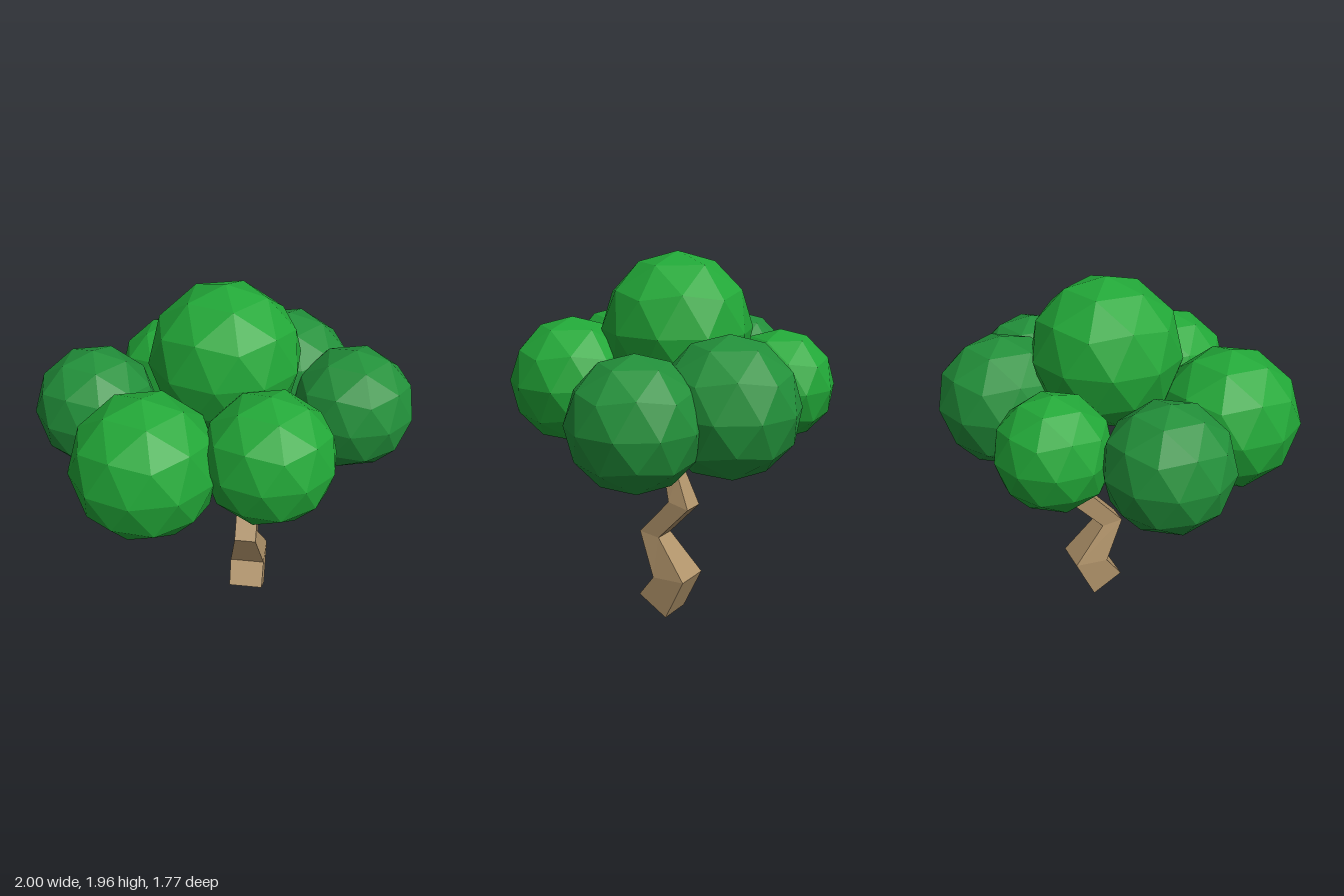
import * as THREE from 'three';

const leafLight = new THREE.MeshStandardMaterial({ name: 'light leaf green', color: 0x22a838, flatShading: true });
const leafDark = new THREE.MeshStandardMaterial({ name: 'dark leaf green', color: 0x22903a, flatShading: true });
const bark = new THREE.MeshStandardMaterial({ name: 'bark brown', color: 0xb0936a, flatShading: true });

// Skin a list of four-cornered rings into a closed, faceted solid
function skin(rings, name) {
  const pos = [];
  const quad = (a, b, c, d) => [a, b, c, a, c, d].forEach((p) => pos.push(p.x, p.y, p.z));
  for (let k = 0; k + 1 < rings.length; k++) {
    for (let i = 0; i < 4; i++) {
      const j = (i + 1) % 4;
      quad(rings[k][i], rings[k][j], rings[k + 1][j], rings[k + 1][i]);
    }
  }
  const first = rings[0], last = rings[rings.length - 1];
  quad(first[0], first[3], first[2], first[1]);
  quad(last[0], last[1], last[2], last[3]);
  const geo = new THREE.BufferGeometry();
  geo.setAttribute('position', new THREE.Float32BufferAttribute(pos, 3));
  geo.computeVertexNormals();
  const mesh = new THREE.Mesh(geo, bark);
  mesh.name = name;
  return mesh;
}

// Square limb following a path, with a half width at each point
function limb(name, points, halfWidths) {
  const path = points.map((p) => new THREE.Vector3(...p));
  const rings = path.map((p, i) => {
    const t = path[Math.min(i + 1, path.length - 1)].clone().sub(path[Math.max(i - 1, 0)]).normalize();
    const e1 = new THREE.Vector3(0, 1, 0).cross(t).normalize();
    const e2 = t.clone().cross(e1);
    const w = halfWidths[i];
    return [[-1, -1], [1, -1], [1, 1], [-1, 1]].map(([a, b]) =>
      p.clone().addScaledVector(e1, a * w).addScaledVector(e2, b * w));
  });
  return skin(rings, name);
}

export function createModel() {
  const tree = new THREE.Group();
  tree.name = 'tree';

  // Zigzag trunk: left x, right x, front z, front y, back z, back y
  const sections = [
    [0.05, 0.24, 0.05, 0.10, -0.12, 0],
    [0.045, 0.24, -0.04, 0.22, -0.23, 0.23],
    [0.08, 0.20, 0.07, 0.455, -0.05, 0.44],
    [0.075, 0.195, -0.11, 0.655, -0.23, 0.63],
    [0.075, 0.16, -0.06, 0.80, -0.145, 0.80],
    [0.09, 0.165, -0.09, 0.90, -0.16, 0.89],
  ];
  tree.add(skin(sections.map(([x0, x1, zf, yf, zb, yb]) => [
    new THREE.Vector3(x0, yf, zf), new THREE.Vector3(x1, yf, zf),
    new THREE.Vector3(x1, yb, zb), new THREE.Vector3(x0, yb, zb),
  ]), 'trunk'));

  // Branches
  tree.add(limb('rightBranch', [[0.13, 0.84, -0.12], [-0.03, 0.955, -0.12], [-0.27, 1.05, -0.11]], [0.035, 0.022, 0.014]));
  tree.add(limb('rightTwig', [[-0.17, 1.01, -0.115], [-0.22, 1.10, -0.13]], [0.014, 0.01]));
  tree.add(limb('middleBranch', [[0.13, 0.84, -0.12], [0.095, 1.03, -0.17], [0.06, 1.25, -0.2]], [0.036, 0.03, 0.022]));
  tree.add(limb('leftBranch', [[0.13, 0.84, -0.12], [0.24, 0.97, -0.05], [0.38, 1.06, 0.02]], [0.035, 0.024, 0.017]));
  tree.add(limb('leftTwigLow', [[0.36, 1.05, 0.01], [0.40, 1.09, 0.14]], [0.016, 0.012]));
  tree.add(limb('leftTwigHigh', [[0.36, 1.05, 0.01], [0.38, 1.16, 0.10]], [0.016, 0.012]));

  // Leaf balls, turned so that one vertex points straight up
  const ball = new THREE.IcosahedronGeometry(1, 1);
  ball.rotateZ(-Math.atan(2 / (1 + Math.sqrt(5))));
  const crowns = [
    ['topLeaves', 0.01, 1.56, -0.05, 0.40, leafLight],
    ['rightLeaves', -0.685, 1.23, -0.02, 0.33, leafDark],
    ['backRightLeaves', -0.348, 1.24, -0.475, 0.302, leafLight],
    ['backLeftLeaves', 0.298, 1.25, -0.525, 0.36, leafDark],
    ['leftLeaves', 0.68, 1.212, -0.237, 0.337, leafDark],
    ['frontRightLeaves', -0.313, 1.223, 0.505, 0.378, leafLight],
    ['frontLeftLeaves', 0.29, 1.277, 0.43, 0.34, leafLight],
  ];
  for (const [name, x, y, z, r, material] of crowns) {
    const mesh = new THREE.Mesh(ball, material);
    mesh.name = name;
    mesh.position.set(x, y, z);
    mesh.scale.setScalar(r);
    tree.add(mesh);
  }
  return tree;
}
